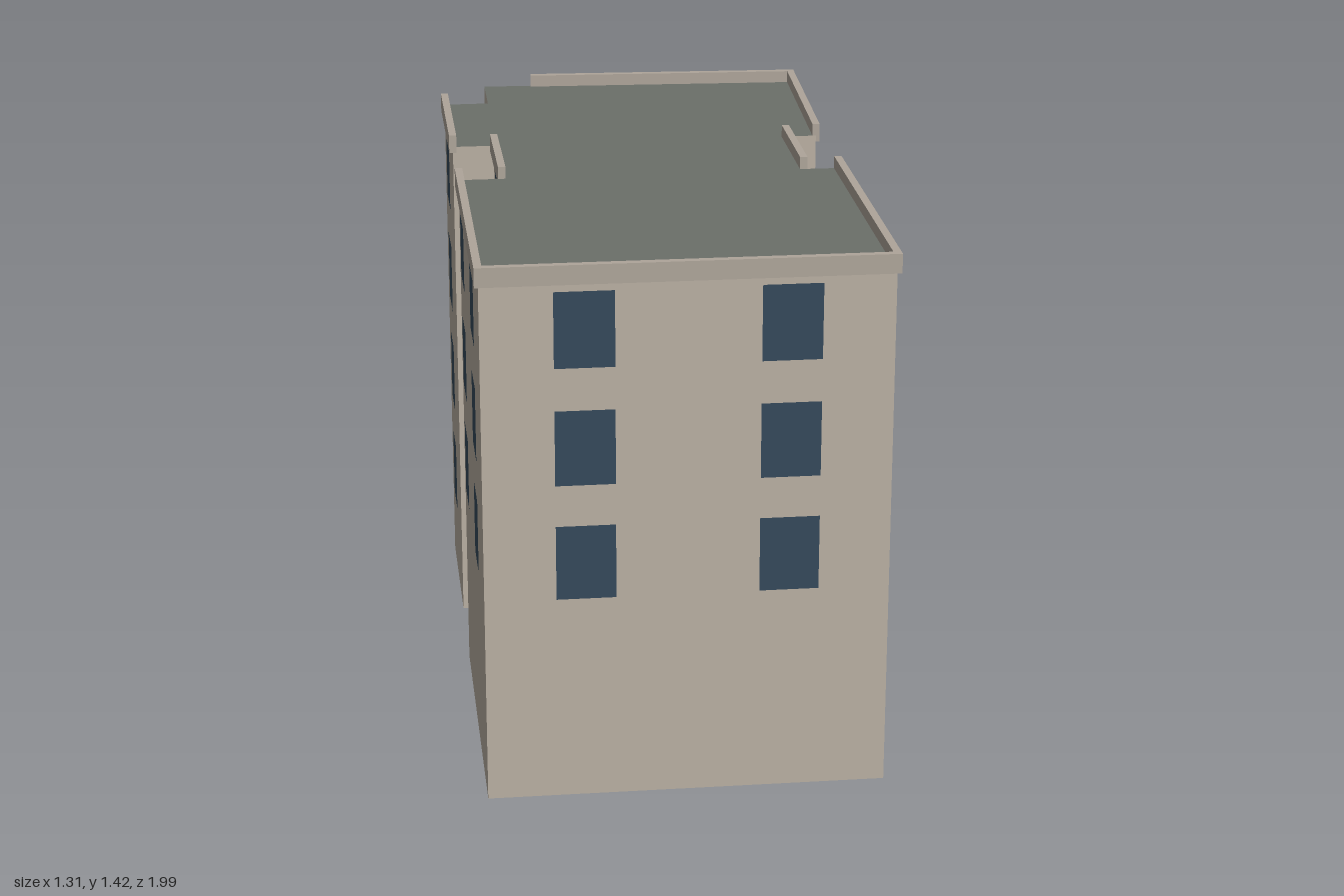
import * as THREE from 'three';

const WALL_TOP = 1.387;
const ALL_FLOORS = [0.337, 0.643, 0.947, 1.253];
const UPPER_FLOORS = ALL_FLOORS.slice(1);

// Facades in order round the footprint: start corner [x, z], whether a parapet
// runs along it, and window columns as [fraction along the wall, floors].
const facades = [
  { name: 'front', at: [-0.36, 0.985], parapet: true, columns: [[0.25, UPPER_FLOORS], [0.75, UPPER_FLOORS]] },
  { name: 'leftFront', at: [0.645, 0.807], parapet: true, columns: [[0.195, UPPER_FLOORS], [0.697, ALL_FLOORS]] },
  { name: 'leftRecessReturn', at: [0.493, -0.05] },
  { name: 'leftRecess', at: [0.402, -0.035], parapet: true, columns: [[0.49, ALL_FLOORS]] },
  { name: 'leftRearReturn', at: [0.345, -0.36] },
  { name: 'leftRear', at: [0.43, -0.378], parapet: true, columns: [[0.5, ALL_FLOORS]] },
  { name: 'back', at: [0.345, -0.985], parapet: true, columns: [[0.25, ALL_FLOORS], [0.75, ALL_FLOORS]] },
  { name: 'backEnd', at: [-0.42, -0.882] },
  { name: 'rightRearNotch', at: [-0.555, -0.862] },
  { name: 'rightRearReturn', at: [-0.523, -0.67] },
  { name: 'rightRear', at: [-0.646, -0.647], parapet: true, columns: [[0.45, ALL_FLOORS]] },
  { name: 'rightRecessReturn', at: [-0.566, -0.195] },
  { name: 'rightRecess', at: [-0.455, -0.215], parapet: true, columns: [[0.5, ALL_FLOORS]] },
  { name: 'rightFrontReturn', at: [-0.397, 0.111] },
  { name: 'rightFront', at: [-0.51, 0.131], parapet: true, columns: [[0.2, UPPER_FLOORS], [0.7, UPPER_FLOORS]] },
];

const wallMaterial = new THREE.MeshStandardMaterial({ color: 0xb9afa2 });
const parapetMaterial = new THREE.MeshStandardMaterial({ color: 0xaea59a });
const roofMaterial = new THREE.MeshStandardMaterial({ color: 0x6b6f69 });
const windowMaterial = new THREE.MeshStandardMaterial({ color: 0x34495a });

// Solid block: roof and base on the caps, wall colour on the sides
function makeBlock() {
  const shape = new THREE.Shape(facades.map(({ at: [x, z] }) => new THREE.Vector2(x, -z)));
  const geometry = new THREE.ExtrudeGeometry(shape, { depth: WALL_TOP, bevelEnabled: false });
  geometry.rotateX(-Math.PI / 2);
  const block = new THREE.Mesh(geometry, [roofMaterial, wallMaterial]);
  block.name = 'wallsAndRoof';
  return block;
}

// Parapet and windows of one wall; local x runs along it, local z points outward
function makeFacade(index) {
  const count = facades.length;
  const { name, at, parapet, columns = [] } = facades[index];
  const before = facades[(index + count - 1) % count];
  const after = facades[(index + 1) % count];
  const dx = after.at[0] - at[0];
  const dz = after.at[1] - at[1];
  const length = Math.hypot(dx, dz);

  const group = new THREE.Group();
  group.name = name + 'Facade';
  group.position.set(at[0], 0, at[1]);
  group.rotation.y = Math.atan2(-dz, dx);

  if (parapet) {
    // Overlap only where the neighbouring wall carries a parapet too
    const start = before.parapet ? -0.01 : 0;
    const end = length + (after.parapet ? 0.01 : 0);
    const rail = new THREE.Mesh(new THREE.BoxGeometry(end - start, 0.05, 0.02), parapetMaterial);
    rail.position.set((start + end) / 2, 1.395, 0);
    rail.name = 'parapet';
    group.add(rail);
  }

  for (const [fraction, floors] of columns) {
    for (const y of floors) {
      const pane = new THREE.Mesh(new THREE.PlaneGeometry(0.15, 0.196), windowMaterial);
      pane.position.set(length * fraction, y, 0.003);
      pane.name = 'window';
      group.add(pane);
    }
  }
  return group;
}

export function createModel() {
  const building = new THREE.Group();
  building.name = 'apartmentBuilding';
  building.add(makeBlock());
  facades.forEach((_, i) => {
    const facade = makeFacade(i);
    if (facade.children.length) building.add(facade);
  });
  return building;
}
